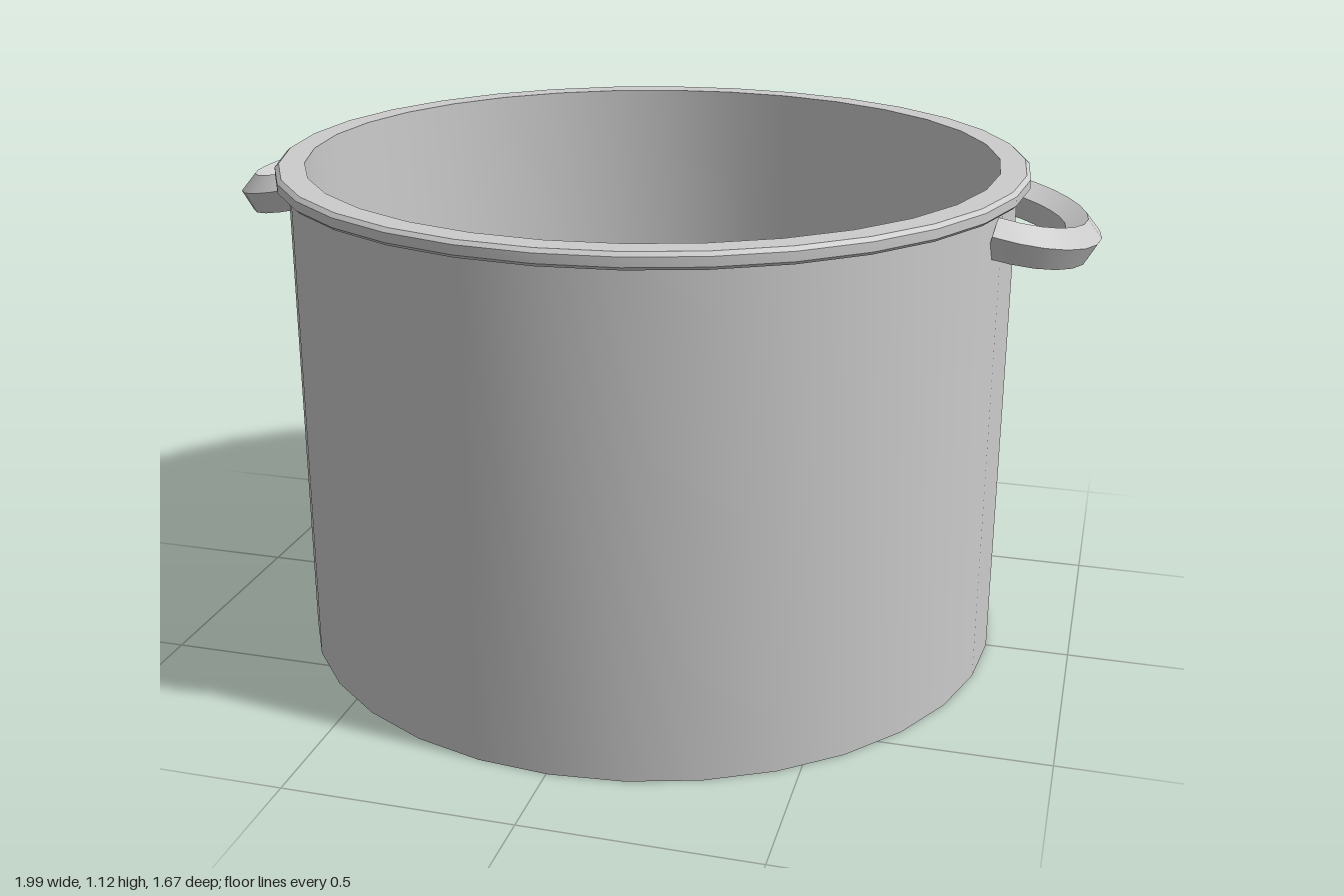
import * as THREE from 'three';
import { toCreasedNormals } from 'three/addons/utils/BufferGeometryUtils.js';

const material = new THREE.MeshStandardMaterial({ color: 0xcccccc });

function addMesh(parent, name, geometry) {
  const mesh = new THREE.Mesh(toCreasedNormals(geometry, 0.6), material);
  mesh.name = name;
  parent.add(mesh);
  return mesh;
}

// Half-ring handle with a five-sided section, apex up, bulging towards +x
function createHandle() {
  const handle = new THREE.Group();
  const ring = 0.197, thickness = 0.046;
  const section = [];
  for (let i = 0; i <= 5; i++) {
    const a = Math.PI / 2 + (i / 5) * Math.PI * 2;
    section.push(new THREE.Vector2(ring + thickness * Math.cos(a), thickness * Math.sin(a)));
  }
  addMesh(handle, 'handleGrip', new THREE.LatheGeometry(section, 12, 0, Math.PI));

  // Flat ends against the wall
  for (const side of [-1, 1]) {
    const cap = new THREE.CircleGeometry(thickness, 5, Math.PI / 2);
    cap.rotateY(-Math.PI / 2);
    cap.translate(0, 0, side * ring);
    addMesh(handle, 'handleEnd', cap);
  }
  handle.scale.x = 0.91;
  handle.rotation.z = -0.23; // droops outwards
  handle.position.set(0.78, 1.025, -0.02);
  return handle;
}

export function createModel() {
  const model = new THREE.Group();
  model.name = 'cookingPot';

  // Pot: floor, outer wall, chamfered rim and inner wall in one profile
  const profile = [
    [0, 0], [0.808, 0], [0.808, 1.085], [0.828, 1.085], [0.835, 1.092], [0.835, 1.112],
    [0.826, 1.12], [0.77, 1.12], [0.77, 0.04], [0, 0.04],
  ].map(([r, y]) => new THREE.Vector2(r, y));
  const pot = addMesh(model, 'potBody', new THREE.LatheGeometry(profile, 32));
  pot.position.x = 0.005;

  // Matching handles on both sides
  for (const [name, side] of [['leftHandle', 1], ['rightHandle', -1]]) {
    const handle = createHandle();
    handle.position.z *= side; // the half turn below flips z back
    const pivot = new THREE.Group();
    pivot.name = name;
    pivot.rotation.y = side > 0 ? 0 : Math.PI;
    pivot.add(handle);
    model.add(pivot);
  }
  return model;
}
